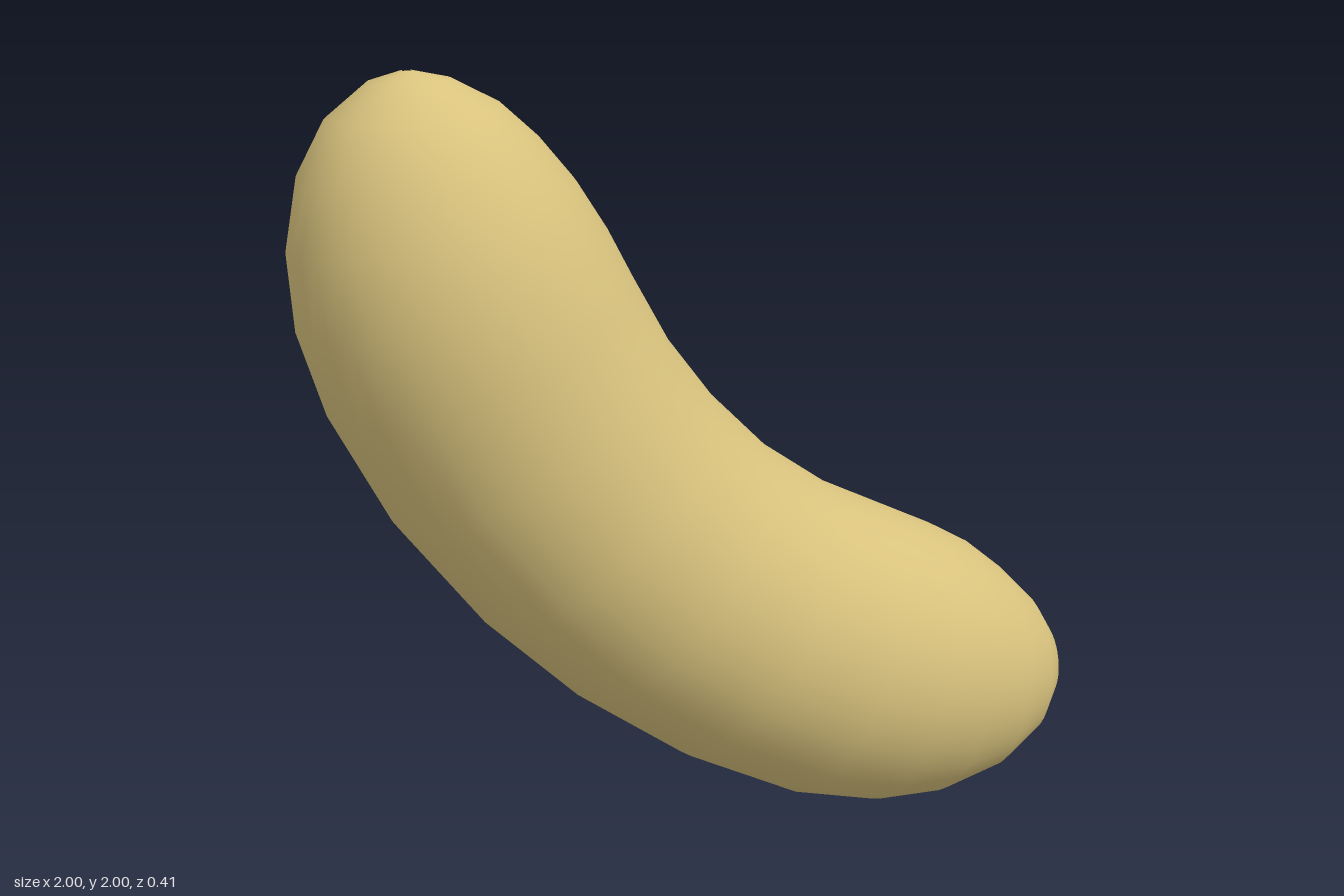
import * as THREE from 'three';
import { mergeVertices } from 'three/addons/utils/BufferGeometryUtils.js';

// Cross-sections along the bean: outer x, y, inner x, y, dome height
const STATIONS = [
  [-0.71, 2.0, -0.69, 2.0, 0],
  [-0.79, 1.98, -0.6, 1.98, 0.1],
  [-0.895, 1.9, -0.49, 1.92, 0.2],
  [-0.965, 1.775, -0.4, 1.835, 0.28],
  [-1.0, 1.6, -0.32, 1.735, 0.345],
  [-0.99, 1.41, -0.25, 1.62, 0.385],
  [-0.93, 1.2, -0.19, 1.5, 0.4],
  [-0.79, 0.92, -0.1, 1.33, 0.4],
  [-0.59, 0.65, 0.02, 1.165, 0.4],
  [-0.36, 0.42, 0.16, 1.02, 0.4],
  [-0.09, 0.22, 0.32, 0.905, 0.4],
  [0.2, 0.07, 0.48, 0.825, 0.4],
  [0.41, 0.015, 0.62, 0.755, 0.385],
  [0.595, 0.005, 0.73, 0.69, 0.345],
  [0.77, 0.045, 0.83, 0.605, 0.285],
  [0.9, 0.12, 0.92, 0.51, 0.2],
  [0.975, 0.21, 0.975, 0.42, 0.11],
  [1.0, 0.32, 1.0, 0.31, 0],
];
const ARC = 18;    // segments across the dome
const RIM = 0.015; // depth of the rounded edge at the back

const backZ = (x) => -0.2 + 0.007 * x;

// Skin rows of points into a smooth surface
function skin(rows) {
  const n = rows[0].length;
  const index = [];
  for (let i = 0; i < rows.length - 1; i++) {
    for (let j = 0; j < n - 1; j++) {
      const a = i * n + j, b = a + n;
      index.push(a, b, a + 1, b, b + 1, a + 1);
    }
  }
  const geometry = new THREE.BufferGeometry().setFromPoints(rows.flat());
  geometry.setIndex(index);
  const merged = mergeVertices(geometry, 1e-4);
  merged.computeVertexNormals();
  return merged;
}

// Point on a section: s runs from 1 (outer) to -1 (inner)
function across([ox, oy, ix, iy], s, lift) {
  const x = (ox + ix) / 2 + ((ox - ix) / 2) * s;
  const y = (oy + iy) / 2 + ((oy - iy) / 2) * s;
  return new THREE.Vector3(x, y, backZ(x) + lift);
}

export function createModel() {
  const model = new THREE.Group();
  model.name = 'bean';
  const tan = new THREE.MeshStandardMaterial({ color: 0xd8c27d });
  tan.name = 'tan';
  const inset = 0.975;

  // Half-elliptical dome with a narrow rolled rim
  const domeRows = STATIONS.map((st) => {
    const row = [across(st, inset, 0)];
    for (let j = 0; j <= ARC; j++) {
      const t = (j / ARC) * Math.PI;
      const h = Math.max(st[4] - RIM, 0);
      row.push(across(st, Math.cos(t), RIM + h * Math.sin(t)));
    }
    row.push(across(st, -inset, 0));
    return row;
  });
  const dome = new THREE.Mesh(skin(domeRows), tan);
  dome.name = 'dome';

  // Flat back, facing -z
  const backRows = STATIONS.map((st) => [across(st, -inset, 0), across(st, inset, 0)]);
  const back = new THREE.Mesh(skin(backRows), tan);
  back.name = 'flatBack';

  model.add(dome, back);
  return model;
}
